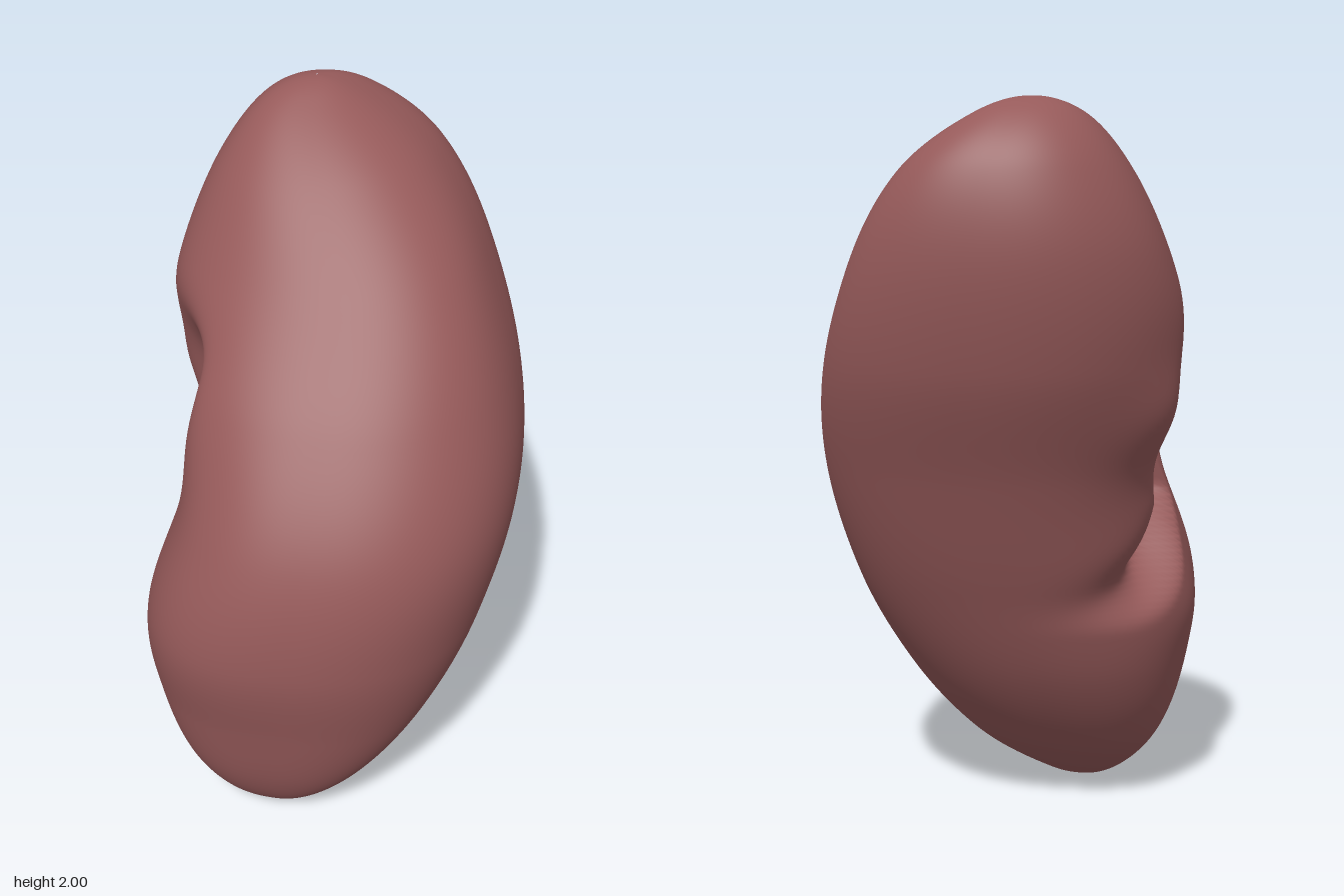
import * as THREE from 'three';

const S = Math.SQRT1_2;
const RINGS = 180, SEGS = 240;

// Extents of the body at heights y = 1 - cos(PI * i / 10): [xMin, xMax, zMin, zMax]
const EXTENTS = [
  [0.12, 0.12, 0.30, 0.30],
  [-0.03, 0.27, 0.16, 0.42],
  [-0.19, 0.40, -0.05, 0.52],
  [-0.31, 0.50, -0.25, 0.58],
  [-0.37, 0.57, -0.42, 0.62],
  [-0.44, 0.575, -0.54, 0.55],
  [-0.55, 0.45, -0.615, 0.42],
  [-0.58, 0.255, -0.61, 0.23],
  [-0.54, 0.02, -0.53, 0.09],
  [-0.45, -0.20, -0.37, -0.05],
  [-0.33, -0.33, -0.20, -0.20],
];

const { smoothstep, lerp } = THREE.MathUtils;
const bell = (d, width) => Math.exp(-((d / width) ** 2));
const power = (c, e) => Math.sign(c) * Math.abs(c) ** e;

// Front rim of the hollow: climbs diagonally, then runs up and slightly back
const rim = y => (y < 0.92 ? lerp(-0.1, 0.18, (y - 0.62) / 0.3) : lerp(0.18, 0.08, (y - 0.92) / 0.45));

// Depth of the hollow: a shelf steep under the front rim, easing out towards the
// back lip, with a smooth round pocket above it
function hollow(v, y) {
  const d = rim(y) - v;
  const across = smoothstep(d, -0.03, 0.06) * bell(Math.max(d - 0.06, 0), 0.14);
  const shelf = 0.13 * smoothstep(y, 0.56, 0.78) * (1 - smoothstep(y, 1.05, 1.38));
  const pocket = 0.2 * bell(y - 1.28, 0.16) * bell(v - 0.03, 0.14);
  return across * shelf + pocket;
}

// Smooth bean body built from horizontal rounded sections on diagonal axes u (outer side) and v (front face)
function bodyGeometry() {
  const edge = k => new THREE.CatmullRomCurve3(
    EXTENTS.map(e => new THREE.Vector3(e[k], 0, e[k + 2])), false, 'catmullrom', 0.5);
  const low = edge(0), high = edge(1);

  const pos = [], index = [];
  for (let i = 0; i <= RINGS; i++) {
    const f = i / RINGS;
    const y = 1 - Math.cos(Math.PI * f);
    const a = low.getPoint(f), b = high.getPoint(f);
    const cx = (a.x + b.x) / 2, cz = (a.z + b.z) / 2;

    // Superellipse section, fuller across v at mid height, scaled so x and z fill their extents
    const ratio = 0.87 + 0.12 * bell(y - 0.95, 0.5);
    const section = [];
    let reach = 0;
    for (let j = 0; j < SEGS; j++) {
      const t = (j / SEGS) * Math.PI * 2;
      const u = power(Math.cos(t), 0.84), v = ratio * power(Math.sin(t), 0.84);
      section.push([(u + v) * S, (v - u) * S, Math.cos(t)]);
      reach = Math.max(reach, (u + v) * S);
    }

    for (const [sx, sz, c] of section) {
      const x = cx + (sx / reach) * (b.x - a.x) / 2;
      const z = cz + (sz / reach) * (b.z - a.z) / 2;
      let u = (x - z) * S, v = (x + z) * S;
      const inner = smoothstep(-u, -0.05, 0.3);
      const waist = 0.08 * bell(y - 1.05, 0.27) * bell(v - 0.18, 0.33);
      const lips = 0.035 * bell(y - 1.17, 0.12) * bell(v + 0.27, 0.13)
        + 0.025 * bell(y - 0.6, 0.13) * bell(v, 0.2);
      const upperShift = 0.04 * bell(y - 1.55, 0.3) * c ** 4;
      const dent = inner * hollow(v, y);
      u += inner * (waist - lips) + dent - upperShift;
      // The floor slides forward so it tucks behind the front rim
      v += 0.3 * dent;
      pos.push((u + v) * S, y, (v - u) * S);
    }
  }
  for (let i = 0; i < RINGS; i++) {
    for (let j = 0; j < SEGS; j++) {
      const p = i * SEGS + j, q = i * SEGS + (j + 1) % SEGS;
      if (i < RINGS - 1) index.push(p, p + SEGS, q + SEGS);
      if (i > 0) index.push(p, q + SEGS, q);
    }
  }
  const g = new THREE.BufferGeometry();
  g.setAttribute('position', new THREE.Float32BufferAttribute(pos, 3));
  g.setIndex(index);
  g.computeVertexNormals();
  // Poles are collapsed rings, so give them plain vertical normals
  for (let j = 0; j < SEGS; j++) {
    g.attributes.normal.setXYZ(j, 0, -1, 0);
    g.attributes.normal.setXYZ(RINGS * SEGS + j, 0, 1, 0);
  }
  return g;
}

export function createModel() {
  const group = new THREE.Group();
  group.name = 'kidney';
  const body = new THREE.Mesh(bodyGeometry(), new THREE.MeshStandardMaterial({ color: 0x965a5a }));
  body.name = 'body';
  group.add(body);
  return group;
}
